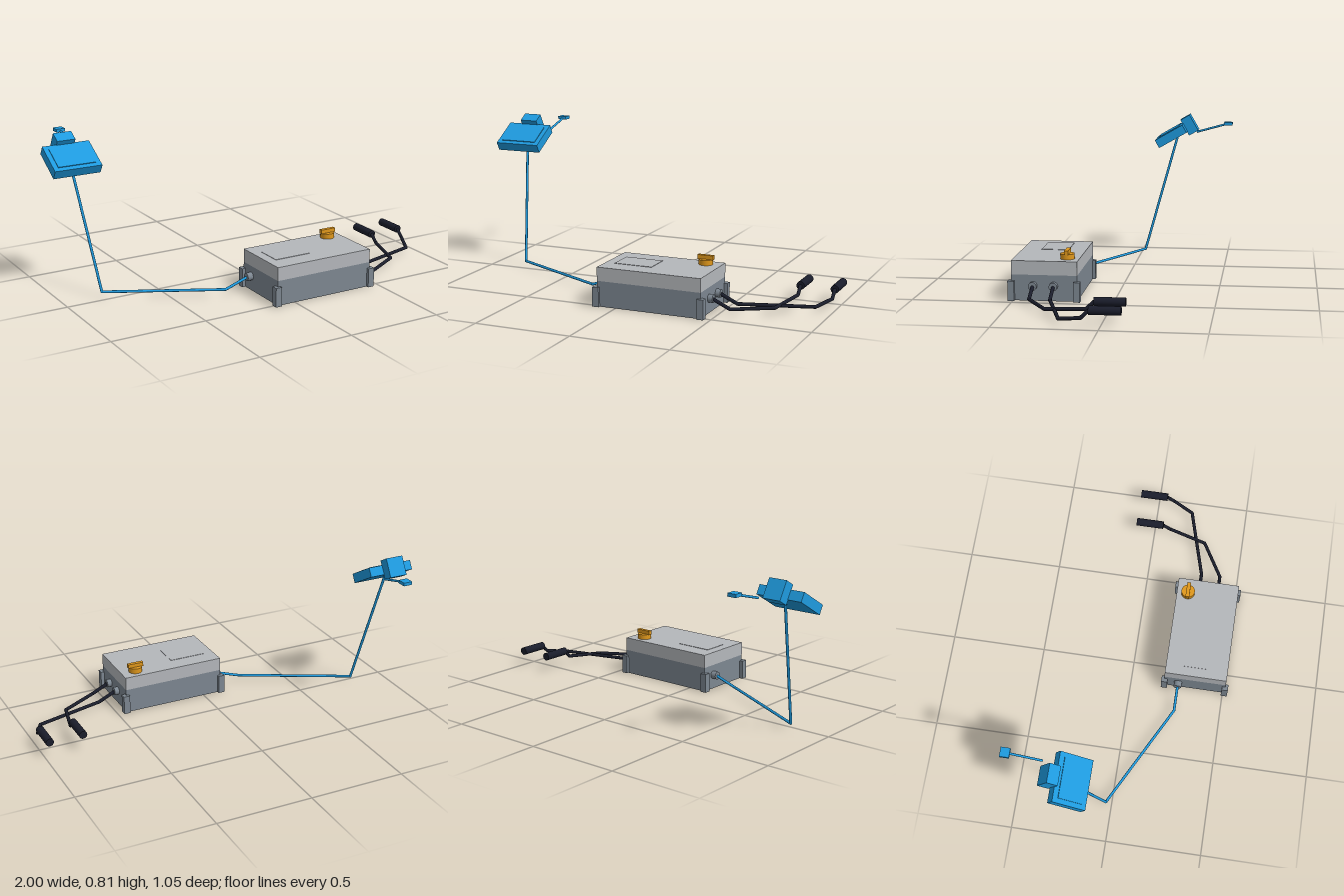
import * as THREE from 'three';

const mat = (color) => new THREE.MeshStandardMaterial({ color });
const UP = new THREE.Vector3(0, 1, 0);

function add(parent, name, geometry, material, x, y, z) {
  const mesh = new THREE.Mesh(geometry, material);
  mesh.name = name;
  mesh.position.set(x, y, z);
  parent.add(mesh);
  return mesh;
}

const box = (parent, name, material, w, h, d, x, y, z) =>
  add(parent, name, new THREE.BoxGeometry(w, h, d), material, x, y, z);

// Straight cable runs with round joints at the bends
function cable(parent, name, material, radius, coords) {
  const group = new THREE.Group();
  group.name = name;
  const pts = coords.map((c) => new THREE.Vector3(...c));
  for (let i = 0; i < pts.length - 1; i++) {
    const dir = pts[i + 1].clone().sub(pts[i]);
    const mid = pts[i].clone().add(pts[i + 1]).multiplyScalar(0.5);
    const run = add(group, name + 'Run', new THREE.CylinderGeometry(radius, radius, dir.length(), 12),
      material, mid.x, mid.y, mid.z);
    run.quaternion.setFromUnitVectors(UP, dir.normalize());
    if (i > 0) {
      add(group, name + 'Bend', new THREE.SphereGeometry(radius, 12, 8), material, ...coords[i]);
    }
  }
  parent.add(group);
}

export function createModel() {
  const model = new THREE.Group();
  model.name = 'controlUnit';
  const grey = mat(0x7d8791);
  const pale = mat(0xb4b7bb);
  const blue = mat(0x1e9ade);
  const black = mat(0x1a1d2b);
  const amber = mat(0xe0981c);

  // Housing with lid, label plate and corner guards
  const housing = new THREE.Group();
  housing.name = 'housing';
  model.add(housing);
  box(housing, 'base', grey, 0.55, 0.13, 0.33, 0.175, 0.065, 0.345);
  box(housing, 'lid', pale, 0.55, 0.07, 0.33, 0.175, 0.165, 0.345);
  box(housing, 'labelPlate', pale, 0.2, 0.004, 0.14, 0.05, 0.2, 0.34);
  for (const x of [-0.102, 0.452]) {
    for (const z of [0.181, 0.509]) {
      box(housing, 'cornerGuard', grey, 0.034, 0.1, 0.033, x, 0.05, z);
    }
  }

  // Sockets: two on the left side, one on the right
  for (const [x, z] of [[0.46, 0.4], [0.46, 0.297], [-0.115, 0.255]]) {
    add(housing, 'socket', new THREE.CylinderGeometry(0.021, 0.021, 0.03, 24), grey, x, 0.076, z)
      .rotation.z = Math.PI / 2;
  }

  // Rotary knob with raised grip
  const knob = new THREE.Group();
  knob.name = 'knob';
  knob.position.set(0.37, 0.2, 0.24);
  model.add(knob);
  add(knob, 'knobBase', new THREE.CylinderGeometry(0.036, 0.036, 0.027, 28), amber, 0, 0.0135, 0);
  box(knob, 'knobGrip', amber, 0.084, 0.022, 0.02, 0, 0.036, 0);

  // Black leads, each ending in a handle
  const leads = [
    [[0.465, 0.076, 0.4], [0.56, 0.032, 0.4], [0.75, 0.032, 0.29], [0.8, 0.05, 0.085], [0.8, 0.088, 0.045]],
    [[0.465, 0.076, 0.297], [0.56, 0.032, 0.297], [0.925, 0.032, 0.195], [0.976, 0.05, 0.085], [0.976, 0.088, 0.045]],
  ];
  for (const path of leads) {
    cable(model, 'lead', black, 0.009, path);
    add(model, 'handle', new THREE.CylinderGeometry(0.021, 0.021, 0.15, 24), black, path[4][0], 0.088, -0.028)
      .rotation.x = Math.PI / 2;
  }

  // Blue cable rising to the remote
  cable(model, 'remoteCable', blue, 0.007, [
    [-0.12, 0.076, 0.255], [-0.25, 0.032, 0.255], [-0.8, 0.032, -0.03], [-0.872, 0.678, -0.205],
  ]);

  // Tilted remote: body, screen and head block
  const remote = new THREE.Group();
  remote.name = 'remote';
  remote.position.set(-0.875, 0.694, -0.1755);
  remote.rotation.x = Math.PI / 6;
  model.add(remote);
  box(remote, 'remoteBody', blue, 0.25, 0.05, 0.18, 0, 0, 0);
  box(remote, 'screen', blue, 0.2, 0.008, 0.13, 0, 0.025, 0.002);
  box(remote, 'headBlock', blue, 0.097, 0.102, 0.06, -0.002, 0, -0.116);

  // Short cable with plug behind the remote
  cable(model, 'plugCable', blue, 0.006, [[-0.8, 0.718, -0.322], [-0.8, 0.766, -0.495]]);
  box(model, 'plug', blue, 0.048, 0.017, 0.047, -0.8, 0.767, -0.501);

  return model;
}
